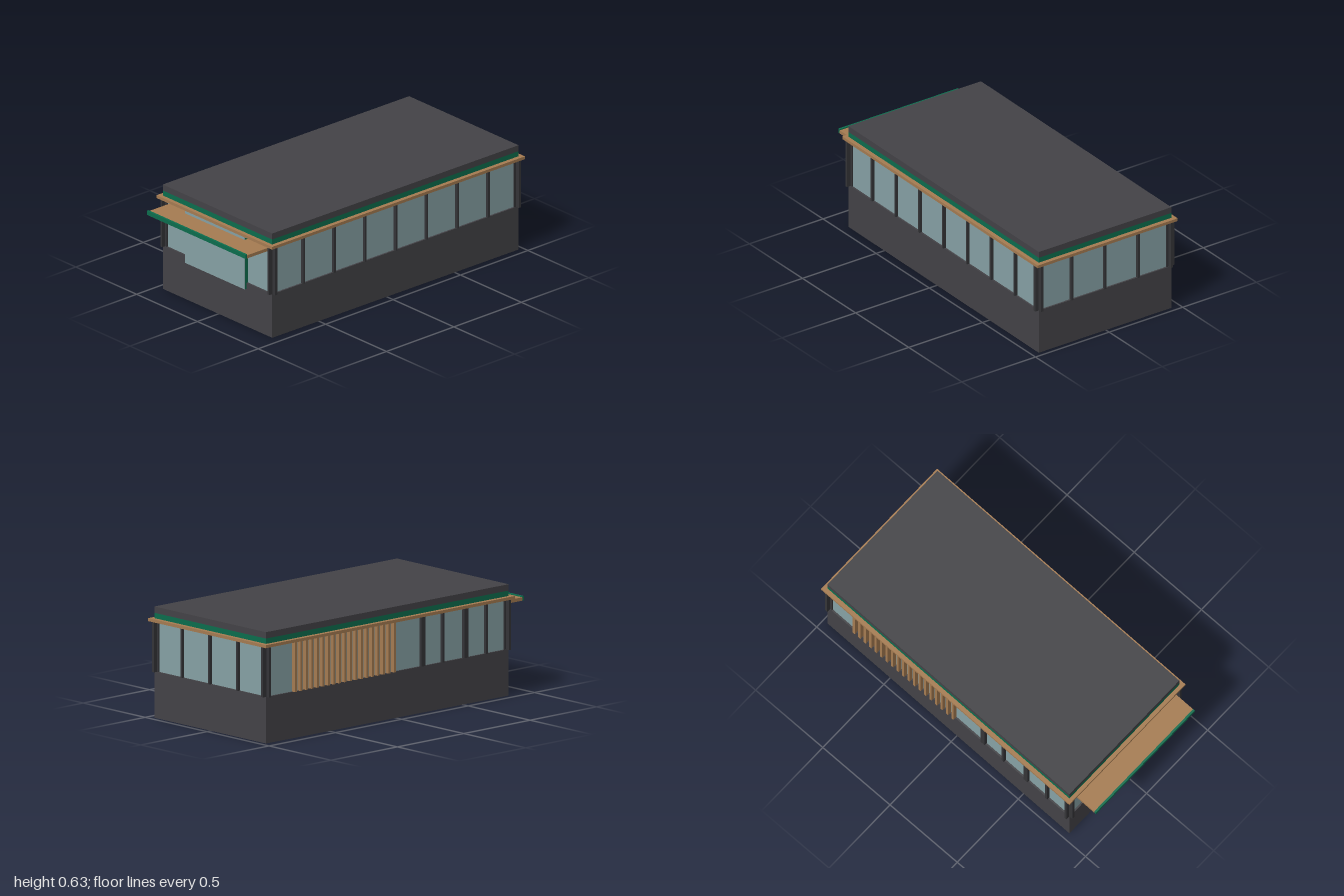
import * as THREE from 'three';

export function createModel() {
  const model = new THREE.Group();
  const mat = (name, color) => Object.assign(new THREE.MeshStandardMaterial({ color }), { name });
  const dark = mat('charcoal wall', 0x444347);
  const frame = mat('dark frame', 0x353538);
  const glass = mat('glass', 0x87a2a6);
  const wood = mat('timber', 0xa67c52);
  const green = mat('green trim', 0x0c6e4e);

  // Box given by its extents; the plan is slightly skewed along x
  function box(name, material, [x0, x1], [y0, y1], [z0, z1]) {
    const geo = new THREE.BoxGeometry(x1 - x0, y1 - y0, z1 - z0);
    geo.translate((x0 + x1) / 2, (y0 + y1) / 2, (z0 + z1) / 2);
    const p = geo.attributes.position;
    for (let i = 0; i < p.count; i++) {
      p.setZ(i, p.getZ(i) + 0.0083 * (p.getX(i) - 0.065) - 0.0015);
    }
    geo.computeVertexNormals();
    const mesh = new THREE.Mesh(geo, material);
    mesh.name = name;
    model.add(mesh);
  }

  const X0 = -0.843, X1 = 0.97, Z = 0.45; // wall planes
  const sill = 0.262, head = 0.545;
  const band = [sill, head];

  // Stacked body
  box('baseWall', dark, [X0, X1], [0, sill], [-Z, Z]);
  box('windowBand', glass, [X0 + 0.01, X1 - 0.01], band, [-Z + 0.01, Z - 0.01]);
  box('greenFascia', green, [X0, X1], [0.541, 0.592], [-Z, Z]);
  box('cornice', wood, [-0.866, 0.995], [head, 0.562], [-0.475, 0.475]);
  box('roof', dark, [X0, X1], [0.592, 0.628], [-Z, Z]);

  // Corner posts: a core with one fin on each face
  for (const sx of [-1, 1]) {
    for (const sz of [-1, 1]) {
      const cx = sx < 0 ? X0 : X1;
      const span = (c, s, a, b) => [c + s * a, c + s * b].sort((m, n) => m - n);
      box('cornerPost', frame, span(cx, sx, -0.016, 0), band, span(sz * Z, sz, -0.016, 0));
      box('cornerFin', frame, span(cx, sx, -0.018, -0.002), band, span(sz * Z, sz, -0.03, 0.022));
      box('cornerFin', frame, span(cx, sx, -0.03, 0.02), band, span(sz * Z, sz, -0.018, -0.002));
    }
  }

  // Mullions on the front, back and right end
  for (let i = 0; i < 7; i++) {
    const x = -0.615 + i * 0.2268;
    box('frontMullion', frame, [x - 0.006, x + 0.006], band, [Z - 0.02, Z + 0.008]);
  }
  [-0.2, -0.35, -0.52, -0.675].forEach((x, i) => {
    const w = i % 2 ? 0.008 : 0.015;
    box('backMullion', frame, [x - w, x + w], band, [-Z - 0.008, -Z + 0.02]);
  });
  for (const z of [-0.224, 0.002, 0.227]) {
    box('rightMullion', frame, [X1 - 0.02, X1 + 0.008], band, [z - 0.006, z + 0.006]);
  }

  // Timber slat screen on the back
  for (let i = 0; i < 19; i++) {
    const x = 0.02 + i * 0.0411;
    box('slat', wood, [x - 0.008, x + 0.008], band, [-Z - 0.015, -Z + 0.015]);
  }

  // Entrance panel and canopy on the right-hand (-x) end
  box('entranceSurround', green, [-0.856, -0.82], [0.227, head], [-0.25, 0.24]);
  box('entranceGlass', glass, [-0.859, -0.856], [0.227, head], [-0.25, 0.24]);
  box('canopy', wood, [-0.99, -0.835], [0.506, 0.525], [-0.404, 0.406]);
  box('canopyEdge', green, [-1, -0.988], [0.506, 0.531], [-0.404, 0.406]);

  return model;
}
